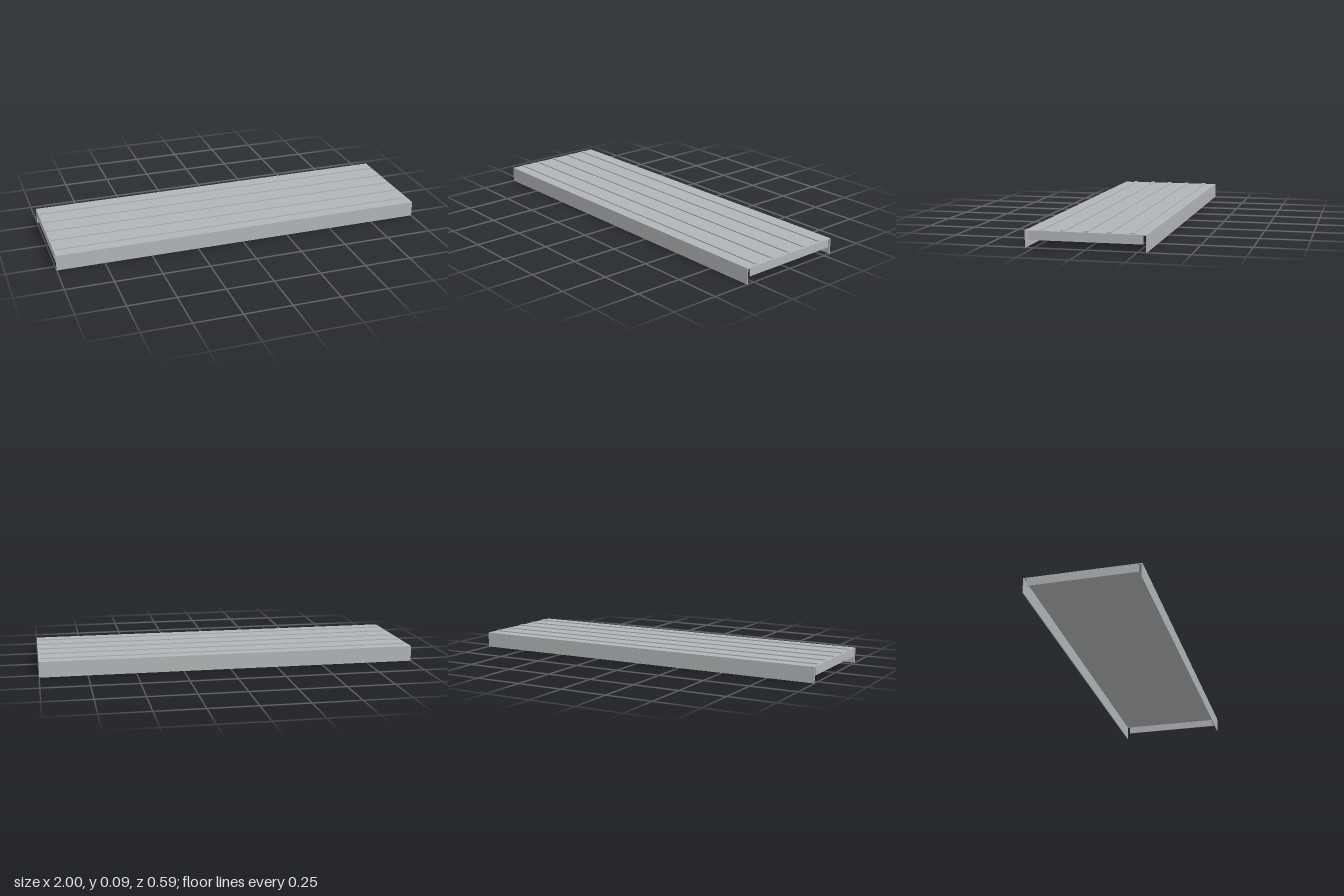
import * as THREE from 'three';

export function createModel() {
  const group = new THREE.Group();
  const steel = new THREE.MeshStandardMaterial({ color: 0xb2b5b7 });
  steel.name = 'light steel grey';

  const halfZ = 0.294, top = 0.082, t = 0.005;

  const add = (name, geometry, x, y, z) => {
    const mesh = new THREE.Mesh(geometry, steel);
    mesh.name = name;
    mesh.position.set(x, y, z);
    group.add(mesh);
  };

  // Folded sheet: deck with a long skirt down each side, one channel section
  const h = halfZ, i = halfZ - t;
  const section = new THREE.Shape([
    [-h, 0], [-i, 0], [-i, top - t], [i, top - t], [i, 0], [h, 0], [h, top], [-h, top],
  ].map(([z, y]) => new THREE.Vector2(z, y)));
  const channel = new THREE.ExtrudeGeometry(section, { depth: 2, bevelEnabled: false });
  channel.translate(0, 0, -1).rotateY(Math.PI / 2);
  add('deckAndSkirts', channel, 0, 0, 0);

  // Shorter flange folded down at each end, clear of the skirts
  const flangeBottom = 0.037, flangeHeight = top - t - flangeBottom;
  for (const side of [-1, 1]) {
    add(side > 0 ? 'leftEndFlange' : 'rightEndFlange',
      new THREE.BoxGeometry(t, flangeHeight, 0.552),
      side * (1 - t / 2), flangeBottom + flangeHeight / 2, 0);
  }

  // Five raised grip ribs along the deck
  const ribHeight = 0.0055;
  const rib = new THREE.BoxGeometry(1.98, ribHeight, 0.022);
  for (let n = -2; n <= 2; n++) add('gripRib' + (n + 3), rib, 0, top + ribHeight / 2, n * 0.1105);

  return group;
}
